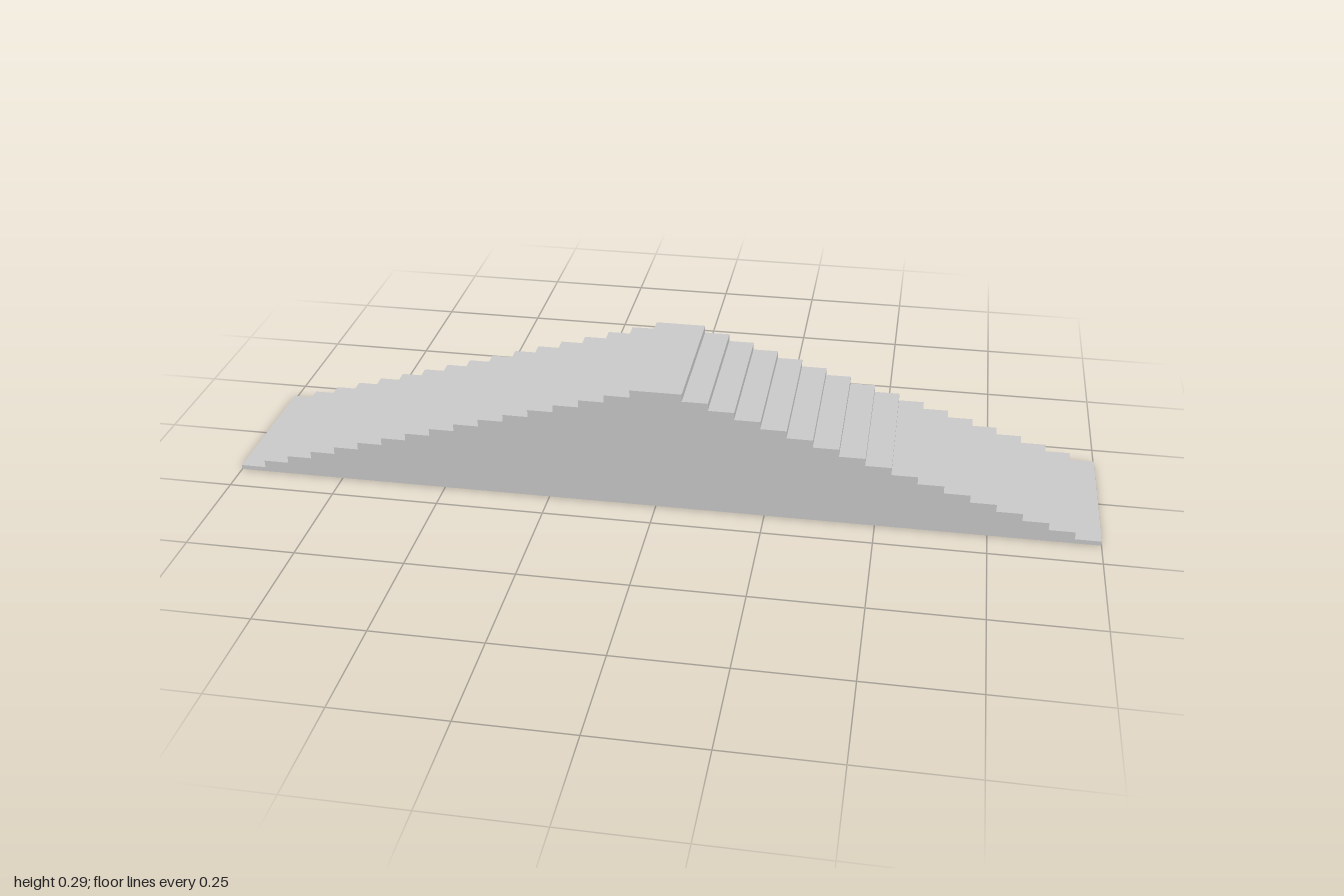
import * as THREE from 'three';

const STEPS = 17;           // levels on each side, the last one is the shared landing
const TREAD = 1 / STEPS;
const FIRST = 0.0107;       // height of the lowest step
const RISE = (0.295 - FIRST) / (STEPS - 1);
const DEPTH = 6 / STEPS;

export function createModel() {
  const group = new THREE.Group();
  group.name = 'doubleStaircase';

  // Right half of the stepped outline, from the ground up to the landing
  const half = [];
  for (let i = 0; i < STEPS; i++) {
    const x = 1 - i * TREAD;
    half.push([x, i === 0 ? 0 : FIRST + (i - 1) * RISE], [x, FIRST + i * RISE]);
  }
  // Mirror it for the other flight
  const outline = [...half, ...half.map(([x, y]) => [-x, y]).reverse()];

  const shape = new THREE.Shape(outline.map(([x, y]) => new THREE.Vector2(x, y)));
  const geometry = new THREE.ExtrudeGeometry(shape, { depth: DEPTH, bevelEnabled: false });
  geometry.translate(0, 0, -DEPTH / 2);

  const stairs = new THREE.Mesh(
    geometry,
    new THREE.MeshStandardMaterial({ color: 0xcccccc, flatShading: true })
  );
  stairs.name = 'steps';
  group.add(stairs);
  return group;
}
